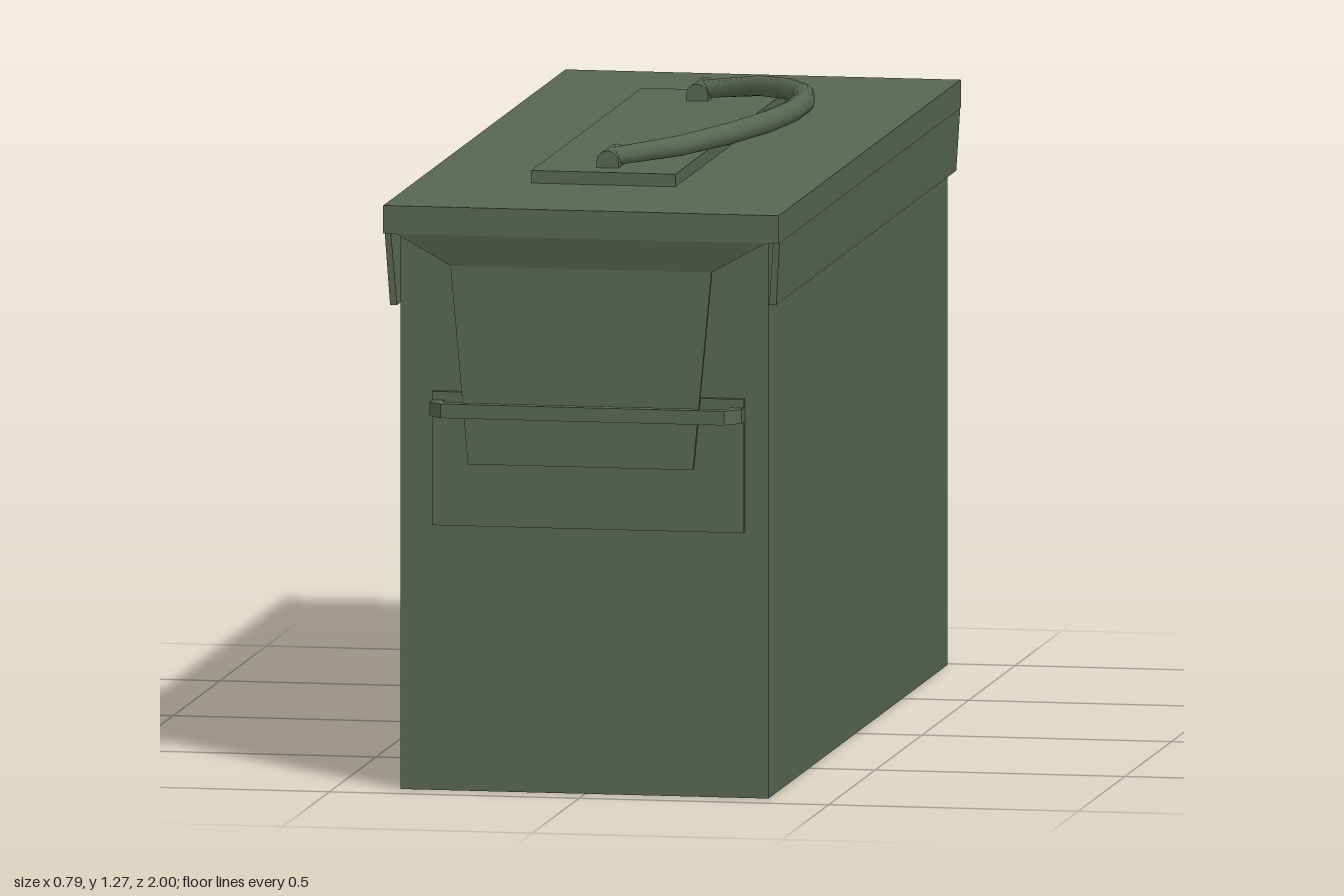
import * as THREE from 'three';
import { ConvexGeometry } from 'three/addons/geometries/ConvexGeometry.js';

const paint = new THREE.MeshStandardMaterial({ color: 0x586552 });
const sheet = new THREE.MeshStandardMaterial({ color: 0x586552, side: THREE.DoubleSide });

export function createModel() {
  const model = new THREE.Group();
  model.name = 'ammunitionBox';

  const add = (name, geometry, material = paint) => {
    const mesh = new THREE.Mesh(geometry, material);
    mesh.name = name;
    model.add(mesh);
    return mesh;
  };

  // Box given by its limits on each axis
  const block = (name, [x0, x1], [y0, y1], [z0, z1]) => add(name,
    new THREE.BoxGeometry(x1 - x0, y1 - y0, z1 - z0)
      .translate((x0 + x1) / 2, (y0 + y1) / 2, (z0 + z1) / 2));

  // Tapered block between two level rectangles [y, x0, x1, z0, z1]
  const taper = (name, ...levels) => {
    const points = [];
    for (const [y, x0, x1, z0, z1] of levels)
      for (const x of [x0, x1])
        for (const z of [z0, z1]) points.push(new THREE.Vector3(x, y, z));
    return add(name, new ConvexGeometry(points));
  };

  // Thin-walled body, open below, with a raised floor
  const shell = new THREE.BoxGeometry(0.737, 1.12, 1.917).translate(-0.001, 0.56, -0.0235);
  const faces = Array.from(shell.index.array);
  faces.splice(18, 6);
  shell.setIndex(faces);
  shell.clearGroups();
  add('body', shell, sheet);
  add('floor', new THREE.PlaneGeometry(0.737, 1.917)
    .rotateX(Math.PI / 2).translate(-0.001, 0.15, -0.0235));

  // Lid with leaning side flanges set back from its front edge
  block('lid', [-0.396, 0.396], [1.11, 1.166], [-0.973, 0.98]);
  taper('leftFlange', [1.11, 0.382, 0.395, -0.973, 0.964], [0.985, 0.373, 0.387, -0.973, 0.957]);
  taper('rightFlange', [1.11, -0.396, -0.384, -0.973, 0.964], [0.965, -0.387, -0.373, -0.973, 0.955]);

  // Rear hinge pin
  add('hingePin', new THREE.CylinderGeometry(0.015, 0.015, 0.58, 12)
    .rotateZ(Math.PI / 2).translate(-0.017, 1.109, -0.985));

  // Front latch: sloping apron, hanging tongue, backing plate and bail
  taper('latchApron', [1.11, -0.37, 0.37, 0.955, 0.979], [1.047, -0.265, 0.258, 0.948, 0.961]);
  taper('latchTongue', [1.047, -0.265, 0.258, 0.951, 0.961], [0.653, -0.23, 0.221, 0.951, 0.961]);
  block('latchBackPlate', [-0.305, 0.32], [0.528, 0.794], [0.93, 0.946]);

  const bail = new THREE.Shape([
    [-0.305, 0.94], [-0.305, 0.972], [-0.278, 1], [0.29, 1], [0.32, 0.969], [0.32, 0.94],
    [0.293, 0.94], [0.293, 0.962], [0.28, 0.975], [-0.268, 0.975], [-0.28, 0.963], [-0.28, 0.94],
  ].map(([x, z]) => new THREE.Vector2(x, z)));
  add('latchBail', new THREE.ExtrudeGeometry(bail, { depth: 0.028, bevelEnabled: false })
    .rotateX(Math.PI / 2).translate(0, 0.777, 0));

  // Handle plate and its two round-topped brackets
  block('handlePlate', [-0.168, 0.121], [1.16, 1.191], [-0.57, 0.615]);
  const arch = new THREE.Shape();
  arch.moveTo(-0.022, 0);
  arch.lineTo(0.022, 0);
  arch.lineTo(0.022, 0.015);
  arch.absarc(0, 0.015, 0.022, 0, Math.PI, false);
  arch.lineTo(-0.022, 0);
  for (const z of [-0.46, 0.5])
    add(z > 0 ? 'frontHandleBracket' : 'rearHandleBracket',
      new THREE.ExtrudeGeometry(arch, { depth: 0.104, bevelEnabled: false, curveSegments: 3 })
        .translate(-0.027, 1.188, z - 0.052));

  // Bowed handle of straight runs, leaning up toward the side, with wider flattened ends
  const half = [[-0.02, 0.482], [0.066, 0.459], [0.147, 0.37], [0.217, 0.233], [0.252, 0.09]];
  const bow = [...half, ...half.map(([x, z]) => [x, -z]).reverse()];
  const path = new THREE.CatmullRomCurve3(
    bow.map(([x, z]) => new THREE.Vector3(x, 1.208 + 0.138 * (x + 0.02), z + 0.02)));
  const steps = 9, sides = 12;
  const tube = new THREE.TubeGeometry(path, steps, 0.022, sides);
  const pos = tube.attributes.position;
  for (let i = 0; i < pos.count; i++) {
    const t = Math.floor(i / (sides + 1)) / steps;
    const c = path.getPointAt(t);
    const end = Math.abs(2 * t - 1) ** 4;
    pos.setXYZ(i,
      c.x + (pos.getX(i) - c.x) * (1 + 0.4 * end),
      c.y + (pos.getY(i) - c.y) * (1 - 0.2 * end),
      c.z + (pos.getZ(i) - c.z) * (1 + 0.8 * end));
  }
  add('handle', tube, sheet);

  return model;
}
